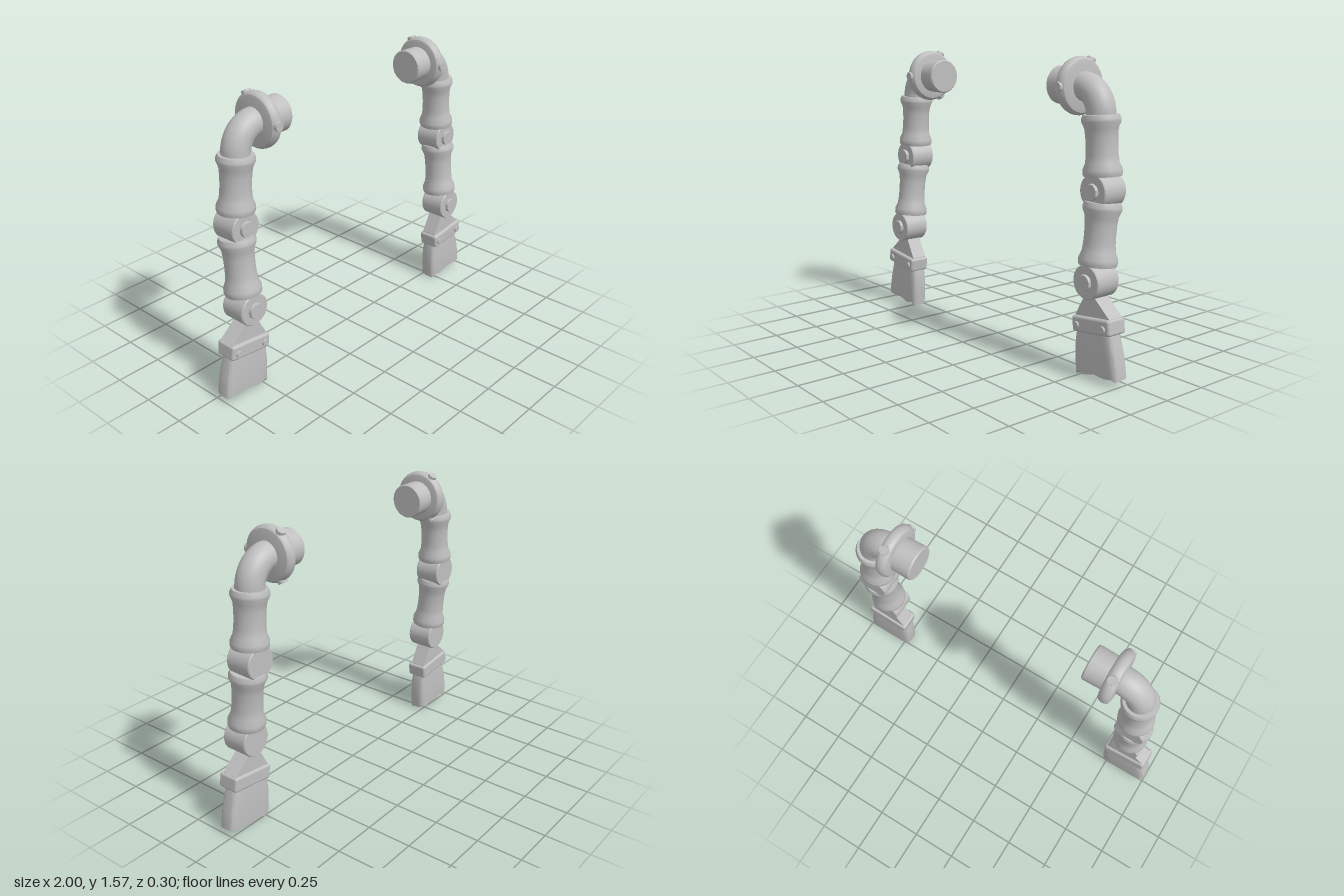
import * as THREE from 'three';
import { toCreasedNormals } from 'three/addons/utils/BufferGeometryUtils.js';
import { RoundedBoxGeometry } from 'three/addons/geometries/RoundedBoxGeometry.js';

const grey = new THREE.MeshStandardMaterial({ color: 0xbfbfbf });
grey.name = 'plain grey';

const V = (x, y, z) => new THREE.Vector3(x, y, z);
const UP = V(0, 1, 0);

function add(group, name, geometry) {
  const mesh = new THREE.Mesh(geometry, grey);
  mesh.name = name;
  group.add(mesh);
  return mesh;
}

// Turned part whose profile [radius, height 0..1] runs from point a to point b
function turned(group, name, profile, a, b, sides = 40) {
  const dir = b.clone().sub(a), len = dir.length();
  const pts = profile.map(([r, t]) => new THREE.Vector2(r, t * len));
  const mesh = add(group, name, toCreasedNormals(new THREE.LatheGeometry(pts, sides), 0.55));
  mesh.position.copy(a);
  mesh.quaternion.setFromUnitVectors(UP, dir.normalize());
  return mesh;
}

// Closed cylinder with a small chamfer at both ends
const drum = (r, c = 0.08) => [[0, 0], [r * 0.95, 0], [r, c], [r, 1 - c], [r * 0.95, 1], [0, 1]];

// Limb sleeve: waisted tube with a collar at each end
const sleeve = [[0, 0], [0.094, 0], [0.097, 0.03], [0.097, 0.11], [0.083, 0.22], [0.079, 0.35],
  [0.078, 0.5], [0.079, 0.65], [0.083, 0.78], [0.097, 0.89], [0.097, 0.93], [0.089, 1], [0, 1]];

// Worn slab: rounded cross-sections from top to a ragged bottom edge
function bladeGeometry(s) {
  // y, inner x, outer x, half depth
  const rows = [[0.25, 0.722, 0.955, 0.046], [0.2, 0.714, 0.968, 0.05], [0.14, 0.71, 0.985, 0.052],
    [0.08, 0.712, 0.995, 0.053], [0.03, 0.718, 1.0, 0.051]];
  const n = 36, pos = [], idx = [];
  const pw = (v, e) => Math.sign(v) * Math.abs(v) ** e;
  rows.forEach(([y, x0, x1, d], k) => {
    for (let i = 0; i < n; i++) {
      const a = i / n * Math.PI * 2, c = Math.cos(a), u = s * pw(c, 0.4);
      const x = s * (x0 + x1) / 2 + pw(c, 0.4) * (x1 - x0) / 2;
      const ragged = 0.024 + 0.01 * u + 0.008 * Math.sin(u * 9 + Math.sin(a) * 2) + 0.004 * Math.cos(u * 23);
      pos.push(x, k === rows.length - 1 ? ragged : y, 0.042 + pw(Math.sin(a), 0.4) * d);
    }
  });
  for (let k = 0; k < rows.length - 1; k++) {
    for (let i = 0; i < n; i++) {
      const a = k * n + i, b = k * n + (i + 1) % n;
      idx.push(a, b, a + n, b, b + n, a + n);
    }
  }
  // end caps
  const last = (rows.length - 1) * n, top = pos.length / 3;
  pos.push(s * 0.838, 0.25, 0.042, s * 0.86, 0.035, 0.042);
  for (let i = 0; i < n; i++) {
    const j = (i + 1) % n;
    idx.push(top, j, i, top + 1, last + i, last + j);
  }
  const g = new THREE.BufferGeometry();
  g.setAttribute('position', new THREE.Float32BufferAttribute(pos, 3));
  g.setIndex(idx);
  return toCreasedNormals(g, 0.8);
}

function createArm(s) {
  const arm = new THREE.Group();
  const P = (x, y, z = 0) => V(s * x, y, z);

  // Shoulder: stub, flange and three rim bolts
  turned(arm, 'shoulderStub', [[0, 0], [0.089, 0], [0.095, 0.06], [0.092, 1], [0, 1]],
    P(0.49, 1.432), P(0.62, 1.432));
  turned(arm, 'shoulderFlange', [[0, 0], [0.115, 0], [0.131, 0.06], [0.14, 0.2], [0.144, 0.4],
    [0.144, 0.6], [0.14, 0.8], [0.131, 0.94], [0.115, 1], [0, 1]], P(0.6, 1.432), P(0.667, 1.432), 48);
  for (let i = 0; i < 3; i++) {
    const a = i * Math.PI * 2 / 3;
    const at = r => P(0.635, 1.432 + Math.sin(a) * r, Math.cos(a) * r);
    turned(arm, 'rimBolt', drum(0.025, 0.2), at(0.125), at(0.153), 20);
  }

  // Bent pipe from the flange down into the upper sleeve
  const bend = [P(0.64, 1.432)];
  for (let i = 0; i <= 8; i++) {
    const a = Math.PI / 2 * (1 - i / 8);
    bend.push(P(0.662 + 0.122 * Math.cos(a), 1.3 + 0.132 * Math.sin(a)));
  }
  bend.push(P(0.786, 1.26));
  add(arm, 'elbowPipe', new THREE.TubeGeometry(new THREE.CatmullRomCurve3(bend), 32, 0.073, 32));

  // Sleeves and hinge drums
  turned(arm, 'upperSleeve', sleeve, P(0.803, 1.008), P(0.784, 1.303));
  turned(arm, 'lowerSleeve', sleeve, P(0.816, 0.572, 0.036), P(0.816, 0.882, 0.008));
  for (const [x, y, z] of [[0.807, 0.936, 0], [0.817, 0.498, 0.046]]) {
    turned(arm, 'hingeDrum', drum(0.087, 0.04), P(x, y, z - 0.073), P(x, y, z + 0.073));
    turned(arm, 'hingePin', drum(0.041, 0.2), P(x, y, z + 0.06), P(x, y, z + 0.09), 28);
  }

  // Flared neck
  const outline = [[0.785, 0.45], [0.842, 0.45], [0.85, 0.42], [0.95, 0.335], [0.945, 0.29], [0.725, 0.27],
    [0.72, 0.31], [0.78, 0.42]];
  const shape = new THREE.Shape(outline.map(([x, y]) => new THREE.Vector2(s * x, y)));
  const neck = add(arm, 'flaredNeck', new THREE.ExtrudeGeometry(shape, { depth: 0.088, bevelEnabled: false }));
  neck.position.z = -0.002;

  // Clamp band with two bolts
  const clamp = add(arm, 'clampBand', new RoundedBoxGeometry(0.255, 0.082, 0.12, 2, 0.014));
  clamp.position.copy(P(0.838, 0.28, 0.045));
  clamp.rotation.z = s * 0.12;
  for (const [x, y] of [[0.747, 0.266], [0.925, 0.284]]) {
    turned(arm, 'clampBolt', drum(0.018, 0.2), P(x, y, 0.09), P(x, y, 0.115), 20);
  }

  add(arm, 'ragged blade', bladeGeometry(s));
  return arm;
}

export function createModel() {
  const model = new THREE.Group();
  model.name = 'pairOfArms';
  for (const s of [1, -1]) {
    const arm = createArm(s);
    arm.name = s > 0 ? 'leftArm' : 'rightArm';
    model.add(arm);
  }
  return model;
}
